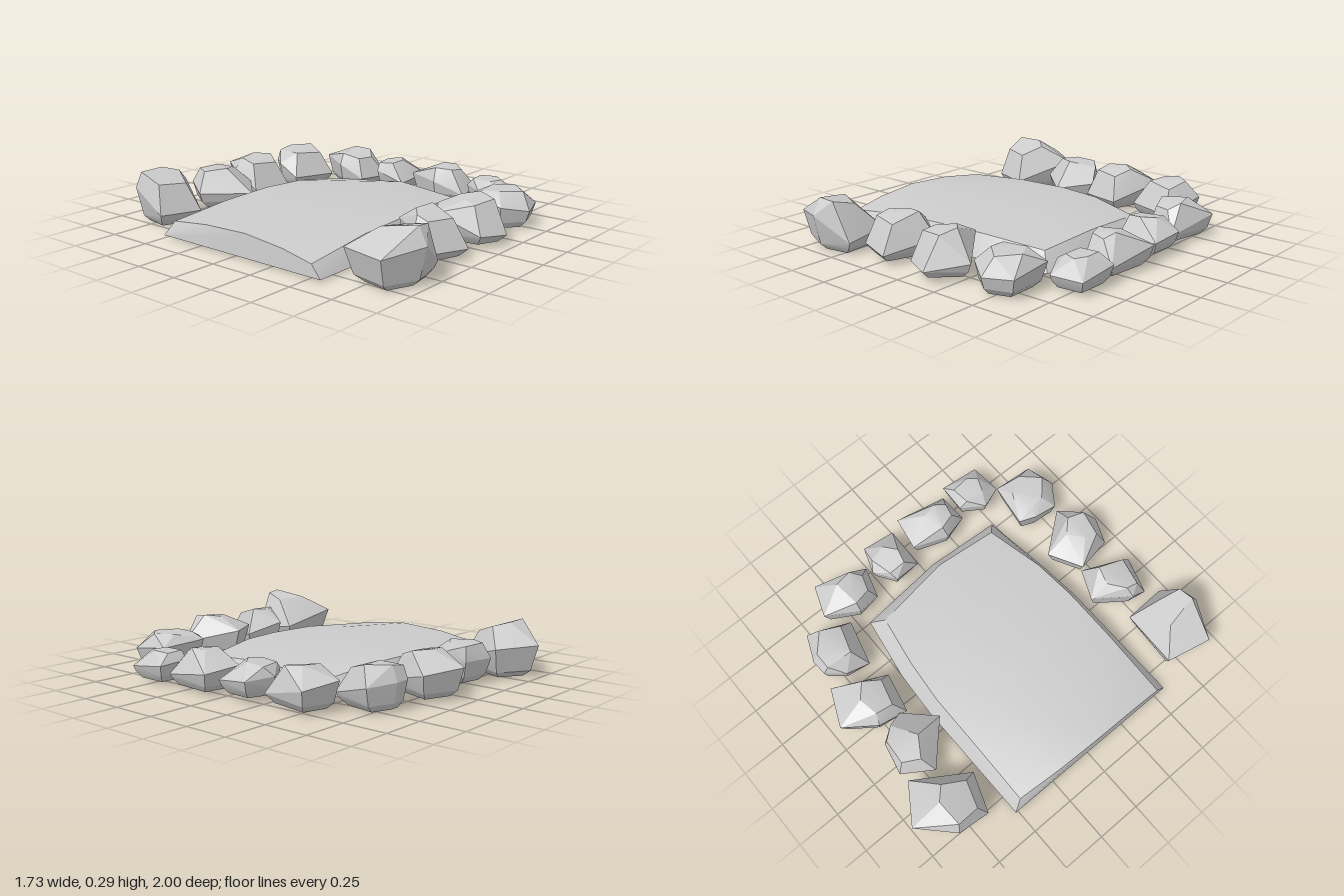
import * as THREE from 'three';
import { ConvexGeometry } from 'three/addons/geometries/ConvexGeometry.js';
import { toCreasedNormals } from 'three/addons/utils/BufferGeometryUtils.js';

const material = new THREE.MeshStandardMaterial({ color: 0xcccccc });

const vectors = (list) => list.map(([x, z, y]) => new THREE.Vector3(x, y, z));

function hull(name, points, crease) {
  const geometry = toCreasedNormals(new ConvexGeometry(points), crease);
  const mesh = new THREE.Mesh(geometry, material);
  mesh.name = name;
  return mesh;
}

// A rock: widest outline and crown as [x, z, y]. The underside shrinks towards
// the middle, and undercuts more where the outline is high.
function rock(name, { base, outline, crown }) {
  const cx = outline.reduce((s, p) => s + p[0], 0) / outline.length;
  const cz = outline.reduce((s, p) => s + p[1], 0) / outline.length;
  const ring = (y, undercut, taper) => outline.map(([x, z, top]) => {
    const scale = 1 - taper - undercut * (top - base);
    return [cx + (x - cx) * scale, cz + (z - cz) * scale, y];
  });
  const points = vectors([...crown, ...outline, ...ring(base + 0.035, 1, 0.02), ...ring(base, 1.2, 0.2)]);
  return hull(name, points, 0.35);
}

const frontRocks = [
  { base: 0,
    outline: [[-0.79, 0.645, 0.17], [-0.45, 0.68, 0.1], [-0.435, 0.93, 0.07], [-0.63, 1, 0.2], [-0.845, 0.9, 0.17]],
    crown: [[-0.66, 0.76, 0.26], [-0.51, 0.82, 0.25], [-0.54, 0.94, 0.28], [-0.625, 0.95, 0.29]] },
  { base: 0.02,
    outline: [[-0.245, 0.565, 0.17], [-0.065, 0.66, 0.11], [-0.175, 0.935, 0.06], [-0.385, 0.865, 0.07], [-0.385, 0.755, 0.17]],
    crown: [[-0.34, 0.74, 0.235], [-0.25, 0.67, 0.24], [-0.15, 0.7, 0.25], [-0.19, 0.85, 0.205], [-0.35, 0.81, 0.215]] },
  { base: 0.02,
    outline: [[0.115, 0.56, 0.17], [0.315, 0.81, 0.1], [0.14, 0.965, 0.06], [-0.01, 0.9, 0.07], [-0.07, 0.66, 0.17]],
    crown: [[0.04, 0.77, 0.235], [0.12, 0.7, 0.24], [0.19, 0.77, 0.25], [0.165, 0.87, 0.23], [0.02, 0.84, 0.22]] },
  { base: 0.005,
    outline: [[0.38, 0.575, 0.16], [0.635, 0.62, 0.14], [0.63, 0.86, 0.11], [0.47, 0.91, 0.1], [0.335, 0.81, 0.13], [0.34, 0.665, 0.17]],
    crown: [[0.39, 0.66, 0.195], [0.53, 0.65, 0.2], [0.59, 0.75, 0.2], [0.5, 0.85, 0.195], [0.4, 0.76, 0.2]] },
];

const sideRocks = [
  { base: 0.015,
    outline: [[0.64, -0.64, 0.16], [0.83, -0.57, 0.13], [0.76, -0.265, 0.06], [0.58, -0.32, 0.06], [0.54, -0.46, 0.14]],
    crown: [[0.57, -0.46, 0.205], [0.72, -0.48, 0.225], [0.74, -0.38, 0.215], [0.69, -0.33, 0.18], [0.6, -0.36, 0.18]] },
  { base: 0.03,
    outline: [[0.685, -0.265, 0.13], [0.84, -0.21, 0.12], [0.825, -0.015, 0.1], [0.585, -0.02, 0.08], [0.56, -0.185, 0.14]],
    crown: [[0.6, -0.2, 0.18], [0.73, -0.23, 0.18], [0.75, -0.135, 0.195], [0.68, -0.08, 0.2], [0.6, -0.1, 0.19]] },
  { base: 0.015,
    outline: [[0.655, 0.01, 0.14], [0.86, 0.05, 0.12], [0.82, 0.36, 0.07], [0.65, 0.37, 0.06], [0.585, 0.21, 0.13]],
    crown: [[0.62, 0.2, 0.205], [0.74, 0.17, 0.21], [0.76, 0.25, 0.215], [0.73, 0.31, 0.19], [0.65, 0.29, 0.2]] },
  { base: 0.015,
    outline: [[0.685, 0.38, 0.12], [0.855, 0.39, 0.11], [0.845, 0.625, 0.08], [0.66, 0.64, 0.08], [0.6, 0.505, 0.12]],
    crown: [[0.675, 0.425, 0.165], [0.78, 0.415, 0.165], [0.79, 0.515, 0.17], [0.75, 0.57, 0.165], [0.675, 0.54, 0.165]] },
];

const backRocks = [
  { base: 0,
    outline: [[-0.595, -1, 0.18], [-0.385, -0.86, 0.17], [-0.555, -0.555, 0.07], [-0.775, -0.635, 0.07], [-0.775, -0.83, 0.2]],
    crown: [[-0.75, -0.81, 0.285], [-0.6, -0.815, 0.285], [-0.53, -0.75, 0.265], [-0.59, -0.63, 0.22], [-0.74, -0.68, 0.23]] },
  { base: 0.02,
    outline: [[-0.325, -0.87, 0.14], [-0.145, -0.83, 0.14], [-0.055, -0.66, 0.12], [-0.205, -0.5, 0.1], [-0.425, -0.705, 0.11]],
    crown: [[-0.3, -0.83, 0.22], [-0.16, -0.82, 0.22], [-0.1, -0.75, 0.2], [-0.24, -0.67, 0.23], [-0.35, -0.74, 0.22]] },
  { base: 0.015,
    outline: [[0.07, -0.96, 0.17], [0.285, -0.865, 0.15], [0.17, -0.565, 0.07], [-0.06, -0.615, 0.07], [-0.055, -0.79, 0.17]],
    crown: [[-0.01, -0.77, 0.235], [0.1, -0.79, 0.245], [0.18, -0.72, 0.24], [0.13, -0.63, 0.205], [-0.02, -0.67, 0.215]] },
  { base: 0.01,
    outline: [[0.375, -0.84, 0.15], [0.465, -0.845, 0.15], [0.62, -0.78, 0.14], [0.55, -0.535, 0.07], [0.285, -0.605, 0.08], [0.295, -0.745, 0.15]],
    crown: [[0.37, -0.81, 0.215], [0.46, -0.81, 0.23], [0.56, -0.72, 0.235], [0.52, -0.61, 0.2], [0.36, -0.66, 0.215]] },
];

// Slab: flat underside, bevelled sides, and a top that sinks to the corners.
function slab() {
  const under = [[-0.86, -0.515], [-0.13, -0.52], [0.13, -0.505], [0.32, -0.47], [0.5, -0.445], [0.55, 0.06],
    [0.525, 0.49], [0.32, 0.51], [0.11, 0.545], [-0.13, 0.565], [-0.865, 0.57]];
  const rim = [[-0.828, -0.46, 0.09], [-0.45, -0.46, 0.122], [-0.13, -0.46, 0.13], [0.13, -0.435, 0.125],
    [0.43, -0.38, 0.085], [0.48, 0.06, 0.125], [0.455, 0.425, 0.1], [0.11, 0.49, 0.13], [-0.13, 0.508, 0.132],
    [-0.45, 0.51, 0.122], [-0.86, 0.512, 0.075], [-0.86, 0.08, 0.138], [-0.85, -0.2, 0.125], [-0.86, 0.33, 0.113]];
  const dome = [];
  for (const x of [-0.5, -0.2, 0.1]) {
    for (const z of [-0.2, 0.03, 0.26]) dome.push([x, z, 0.153 - 0.06 * ((x + 0.2) ** 2 + z * z)]);
  }
  return hull('groundSlab', vectors([...under.map(([x, z]) => [x, z, 0.01]), ...rim, ...dome]), 0.35);
}

export function createModel() {
  const model = new THREE.Group();
  model.name = 'rockBorderedPlot';
  model.add(slab());
  const rows = { frontRock: frontRocks, leftRock: sideRocks, backRock: backRocks };
  for (const [name, rocks] of Object.entries(rows)) {
    rocks.forEach((spec, i) => model.add(rock(`${name}${i + 1}`, spec)));
  }
  return model;
}
